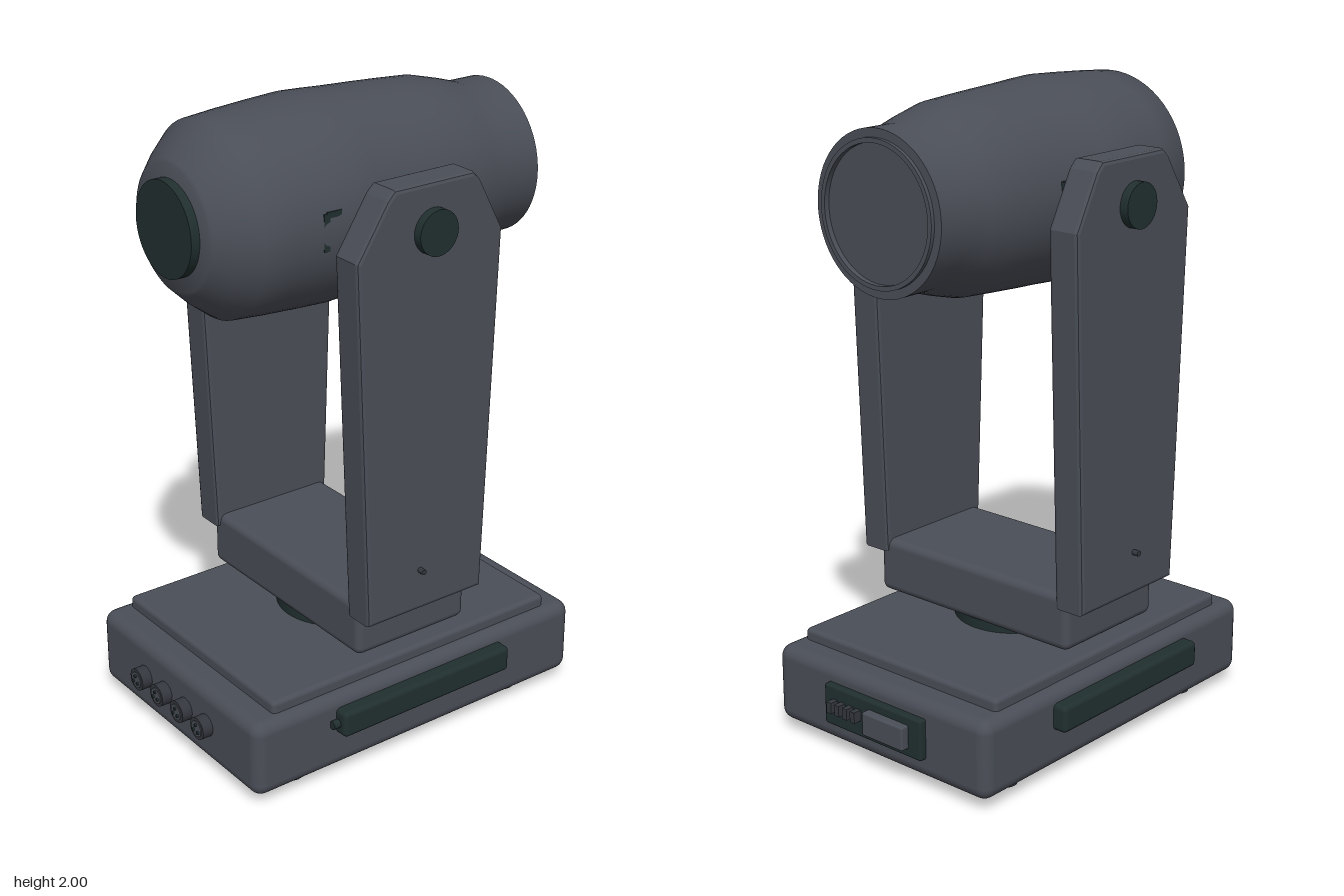
import * as THREE from 'three';
import { toCreasedNormals } from 'three/addons/utils/BufferGeometryUtils.js';
import { RoundedBoxGeometry } from 'three/addons/geometries/RoundedBoxGeometry.js';

export function createModel() {
  const model = new THREE.Group();
  const grey = new THREE.MeshStandardMaterial({ name: 'housing grey', color: 0x4a4e57 });
  const dark = new THREE.MeshStandardMaterial({ name: 'dark green black', color: 0x212f2f });
  const charcoal = new THREE.MeshStandardMaterial({ name: 'charcoal', color: 0x34373e });

  const add = (name, geometry, material, x = 0, y = 0, z = 0) => {
    const mesh = new THREE.Mesh(geometry, material);
    mesh.name = name;
    mesh.position.set(x, y, z);
    model.add(mesh);
    return mesh;
  };
  const rounded = (w, h, d, r) => new RoundedBoxGeometry(w, h, d, 3, r);
  const cylinder = (r, length, axis = 'y', sides = 32) => {
    const g = new THREE.CylinderGeometry(r, r, length, sides);
    if (axis === 'x') g.rotateZ(Math.PI / 2);
    if (axis === 'z') g.rotateX(Math.PI / 2);
    return g;
  };

  // Base with raised lid, feet and turntable
  add('base', rounded(0.865, 0.25, 1.235, 0.04), grey, 0, 0.16, 0);
  add('baseLid', rounded(0.79, 0.08, 1.06, 0.015), grey, 0, 0.282, 0);
  for (const x of [-0.33, 0.33]) {
    for (const z of [-0.42, 0.425]) add('foot', cylinder(0.04, 0.05, 'y', 20), charcoal, x, 0.025, z);
  }
  add('turntable', cylinder(0.19, 0.06, 'y', 48), dark, 0, 0.34, 0.005);

  // Yoke cross piece
  add('yokeBase', rounded(0.77, 0.177, 0.415, 0.025), grey, 0, 0.443, 0.003);

  // Tapered yoke arm, outlined in side view and extruded across x
  const bevel = 0.012;
  const outline = [
    [-0.22, 0.49], [0.21, 0.49], [0.25, 1.64], [0.165, 1.8], [0.14, 1.826],
    [-0.14, 1.826], [-0.165, 1.8], [-0.268, 1.64],
  ];
  const armShape = new THREE.Shape(outline.map(([s, y]) => new THREE.Vector2(s, y)));
  const armGeometry = new THREE.ExtrudeGeometry(armShape, {
    depth: 0.105 - 2 * bevel, bevelEnabled: true, bevelSize: bevel,
    bevelThickness: bevel, bevelOffset: -bevel, bevelSegments: 2,
  });
  armGeometry.translate(0, 0, -(0.105 - 2 * bevel) / 2).rotateY(Math.PI / 2);

  // Parts mirrored on both sides
  for (const s of [-1, 1]) {
    add('yokeArm', armGeometry, grey, s * 0.397, 0, 0);
    add('tiltHub', cylinder(0.092, 0.12, 'x'), grey, s * 0.3, 1.685, 0);
    add('tiltCap', cylinder(0.068, 0.04, 'x'), dark, s * 0.457, 1.685, 0.005);
    add('armScrew', cylinder(0.009, 0.03, 'x', 12), charcoal, s * 0.455, 0.625, 0.03);
    add('sideHandle', rounded(0.06, 0.085, 0.645, 0.015), dark, s * 0.447, 0.203, 0.005);
    add('handlePin', cylinder(0.014, 0.05, 'z', 12), dark, s * 0.442, 0.2, 0.325);
    // Latches on the head
    add('frontLatch', new THREE.BoxGeometry(0.02, 0.11, 0.02), dark, s * 0.293, 1.69, 0.26);
    add('latchTop', new THREE.BoxGeometry(0.02, 0.018, 0.05), dark, s * 0.293, 1.74, 0.235);
    add('rearLatch', new THREE.BoxGeometry(0.02, 0.11, 0.025), dark, s * 0.284, 1.69, -0.1);
  }

  // Lamp head: turned profile of [radius, z], narrowed at the sides around the axle
  const profile = [
    [0, -0.565], [0.2, -0.565], [0.2, -0.582], [0.214, -0.582], [0.214, -0.57], [0.24, -0.57],
    [0.24, -0.465], [0.264, -0.385], [0.286, -0.3], [0.293, -0.2], [0.299, -0.1], [0.304, 0],
    [0.308, 0.07], [0.311, 0.14], [0.306, 0.24], [0.299, 0.35], [0.29, 0.455], [0.243, 0.515],
    [0.195, 0.565], [0.185, 0.572], [0, 0.572],
  ];
  const head = new THREE.LatheGeometry(profile.map(([r, z]) => new THREE.Vector2(r, z)), 64);
  head.rotateX(Math.PI / 2);
  const p = head.attributes.position;
  for (let i = 0; i < p.count; i++) {
    const z = p.getZ(i);
    const narrowing = THREE.MathUtils.smoothstep(z, -0.46, -0.3)
      * (1 - THREE.MathUtils.smoothstep(z, 0, 0.14));
    p.setX(i, p.getX(i) * (1 - 0.055 * narrowing));
  }
  add('lampHead', toCreasedNormals(head, 0.7), grey, 0, 1.685, 0);
  add('frontLens', cylinder(0.142, 0.04, 'z', 48), dark, 0, 1.687, 0.58);

  // Front control knobs
  for (const x of [-0.172, -0.058, 0.055, 0.168]) {
    add('knob', cylinder(0.036, 0.05, 'z', 24), charcoal, x, 0.165, 0.627);
    add('knobFace', cylinder(0.026, 0.006, 'z', 24), grey, x, 0.165, 0.652);
    for (let i = 0; i < 3; i++) {
      const a = Math.PI / 2 + i * Math.PI * 2 / 3;
      add('knobPin', cylinder(0.005, 0.012, 'z', 8), dark,
        x + 0.014 * Math.cos(a), 0.165 + 0.014 * Math.sin(a), 0.655);
    }
  }

  // Rear panel with connector block and fins
  add('rearPanel', rounded(0.4, 0.13, 0.04, 0.008), dark, 0, 0.168, -0.62);
  add('connectorBlock', rounded(0.165, 0.075, 0.035, 0.006), grey, -0.068, 0.168, -0.65);
  for (let i = 0; i < 4; i++) {
    add('connectorFin', new THREE.BoxGeometry(0.019, 0.035, 0.035), charcoal, 0.054 + i * 0.033, 0.175, -0.65);
  }

  return model;
}
